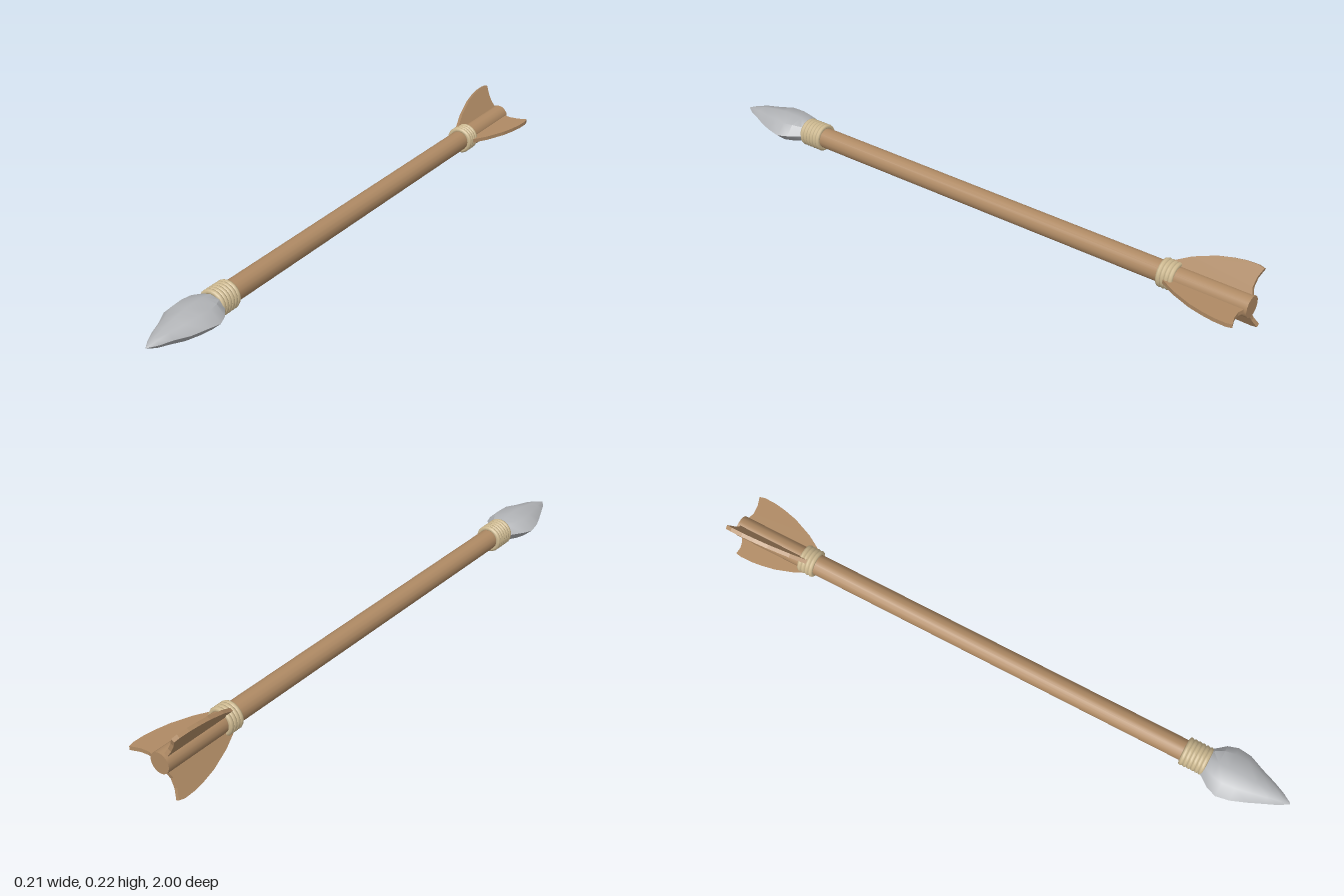
import * as THREE from 'three';
import { toCreasedNormals } from 'three/addons/utils/BufferGeometryUtils.js';

const material = (name, color) => {
  const m = new THREE.MeshStandardMaterial({ color });
  m.name = name;
  return m;
};

// Stone point lofted through eight-sided lens sections
function stoneGeometry() {
  // z, half width, half height, edge sag
  const sections = [
    [0.695, 0.036, 0.03, 0], [0.72, 0.052, 0.036, 0], [0.75, 0.076, 0.041, 0.002],
    [0.785, 0.088, 0.043, -0.001], [0.83, 0.081, 0.042, 0.003], [0.88, 0.06, 0.035, -0.002],
    [0.93, 0.039, 0.025, 0.002], [0.97, 0.021, 0.015, 0], [1.0, 0.002, 0.002, 0],
  ];
  const outline = [[1, 0], [0.62, 0.78], [0, 1], [-0.58, 0.8], [-1, 0], [-0.6, -0.72], [0, -1], [0.62, -0.7]];
  const n = outline.length;
  const positions = [];
  const index = [];
  for (const [z, w, h, sag] of sections) {
    for (const [x, y] of outline) positions.push(x * w, y * h + sag * Math.abs(x), z);
  }
  for (let i = 0; i < sections.length - 1; i++) {
    for (let j = 0; j < n; j++) {
      const a = i * n + j;
      const b = i * n + (j + 1) % n;
      index.push(a, b, b + n, a, b + n, a + n);
    }
  }
  // End caps
  const last = (sections.length - 1) * n;
  for (let j = 1; j < n - 1; j++) {
    index.push(0, j + 1, j, last, last + j, last + j + 1);
  }
  const g = new THREE.BufferGeometry();
  g.setAttribute('position', new THREE.Float32BufferAttribute(positions, 3));
  g.setIndex(index);
  return toCreasedNormals(g, 0.75);
}

// Fin drawn as (distance behind centre, radius), then turned to lie along the shaft
function finGeometry() {
  const points = [
    [0.72, 0.02], [0.72, 0.04], [0.78, 0.075], [0.85, 0.103], [0.9, 0.115],
    [0.94, 0.121], [0.98, 0.122], [1.0, 0.117], [0.988, 0.085], [0.985, 0.055], [0.995, 0.02],
  ].map(([z, r]) => new THREE.Vector2(z, r));
  const thickness = 0.013;
  const g = new THREE.ExtrudeGeometry(new THREE.Shape(points), { depth: thickness, bevelEnabled: false });
  g.translate(0, 0, -thickness / 2);
  // shape x -> -z, shape y -> +x, depth -> -y
  g.applyMatrix4(new THREE.Matrix4().makeBasis(
    new THREE.Vector3(0, 0, -1), new THREE.Vector3(1, 0, 0), new THREE.Vector3(0, -1, 0)));
  return g;
}

export function createModel() {
  const wood = material('wood', 0xaf8a64);
  const cord = material('cord', 0xcdb990);
  const stone = material('stone', 0xb2b4b7);

  const model = new THREE.Group();
  model.name = 'arrow';
  model.position.set(-0.017, 0.11, 0);
  const add = (name, geometry, mat, parent) => {
    const mesh = new THREE.Mesh(geometry, mat);
    mesh.name = name;
    parent.add(mesh);
    return mesh;
  };

  // Shaft
  const shaft = new THREE.CylinderGeometry(0.035, 0.035, 1.7, 16);
  shaft.rotateX(Math.PI / 2).translate(0, 0, -0.15);
  add('shaft', shaft, wood, model);

  // Stone head
  add('arrowhead', stoneGeometry(), stone, model);

  // Cord wrappings
  const ring = new THREE.TorusGeometry(0.039, 0.0085, 8, 20);
  const wrap = (name, start, count) => {
    const group = new THREE.Group();
    group.name = name;
    for (let i = 0; i < count; i++) {
      add('cordRing', ring, cord, group).position.z = start + i * 0.0135;
    }
    model.add(group);
  };
  wrap('headBinding', 0.643, 6);
  wrap('finBinding', -0.75, 4);

  // Three fins around the tail
  const fin = finGeometry();
  for (let i = 0; i < 3; i++) {
    add('fin', fin, wood, model).rotation.z = (i * Math.PI * 2) / 3;
  }

  const root = new THREE.Group();
  root.name = 'stoneArrow';
  root.add(model);
  return root;
}
